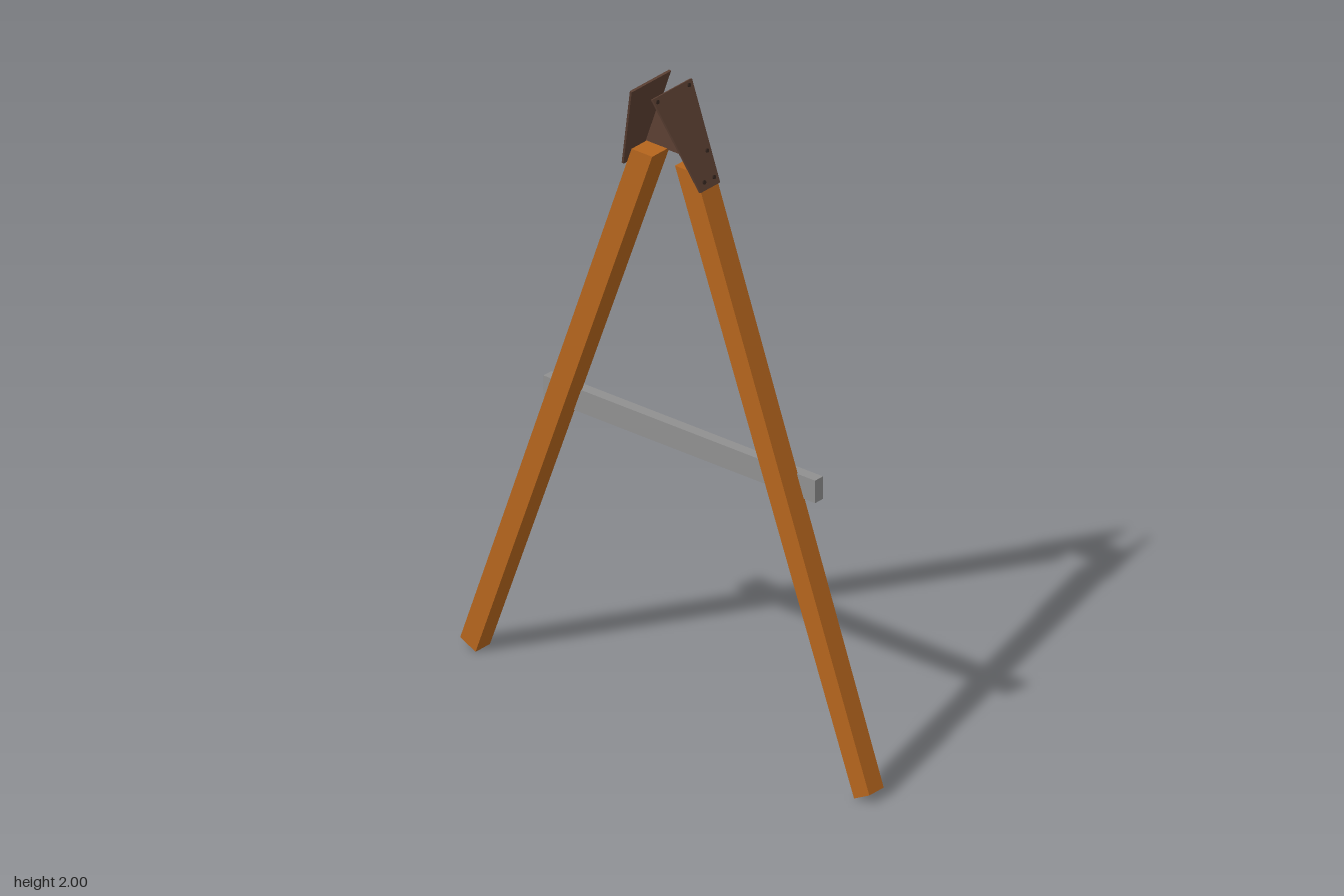
import * as THREE from 'three';

const material = (name, color) => {
  const m = new THREE.MeshStandardMaterial({ color });
  m.name = name;
  return m;
};

// Solid between two matching quads (a outward-facing, counter-clockwise); side -1 mirrors it in x
function prism(a, b, side = 1) {
  const place = (q) => {
    const pts = q.map(([x, y, z]) => [x * side, y, z]);
    return side < 0 ? pts.reverse() : pts;
  };
  a = place(a);
  b = place(b);
  const pos = [];
  const quad = (p, q, r, s) => pos.push(...p, ...q, ...r, ...p, ...r, ...s);
  quad(a[0], a[1], a[2], a[3]);
  quad(b[3], b[2], b[1], b[0]);
  for (let i = 0; i < 4; i++) {
    const j = (i + 1) % 4;
    quad(a[i], b[i], b[j], a[j]);
  }
  const g = new THREE.BufferGeometry();
  g.setAttribute('position', new THREE.Float32BufferAttribute(pos, 3));
  g.computeVertexNormals();
  return g;
}

export function createModel() {
  const model = new THREE.Group();
  const wood = material('wood', 0xb5651d);
  const steel = material('brown steel', 0x5c4033);
  const dark = material('dark bolt', 0x33241d);
  const grey = material('grey rail', 0x909090);

  const add = (name, geometry, mat, parent = model) => {
    const mesh = new THREE.Mesh(geometry, mat);
    mesh.name = name;
    parent.add(mesh);
    return mesh;
  };

  const tilt = THREE.MathUtils.degToRad(19.5);
  const nx = Math.cos(tilt), ny = Math.sin(tilt);
  const boltGeo = new THREE.CylinderGeometry(0.006, 0.006, 0.008, 8);

  for (const side of [1, -1]) {
    const label = side > 0 ? 'left' : 'right';

    // Splayed leg, slightly thicker at its level-cut top
    const leg = (zLow, zHigh) => [
      [0.683, 0, zLow], [0.738, 0.028, zLow], [0.116, 1.757, zHigh], [0.041, 1.757, zHigh],
    ];
    add(label + 'Leg', prism(leg(-0.003, 0.002), leg(-0.065, -0.072), side), wood);

    // Flared bracket plate lying on the outside of the leg
    const outer = [
      [0.143, 1.71, 0.012], [0.143, 1.71, -0.071], [0.041, 2, -0.071], [0.041, 2, 0.098],
    ];
    const inner = outer.map(([x, y, z]) => [x - 0.007 * nx, y - 0.007 * ny, z]);
    add(label + 'BracketPlate', prism(outer, inner, side), steel);

    // Bolts on the bracket plate: [y, z]
    const bolts = new THREE.Group();
    bolts.name = label + 'Bolts';
    model.add(bolts);
    for (const [y, z] of [[1.988, 0.083], [1.988, -0.052], [1.805, -0.053], [1.732, -0.01], [1.732, -0.052]]) {
      const bolt = add('bracketBolt', boltGeo, dark, bolts);
      bolt.position.set(side * (0.143 - 0.102 * (y - 1.71) / 0.29), y, z);
      bolt.rotation.z = side * (tilt - Math.PI / 2);
    }
    // Bolts on the back of the joining plate: [x, y]
    for (const [x, y] of [[0.055, 1.845], [0.088, 1.785], [0.035, 1.785]]) {
      const bolt = add('joiningBolt', boltGeo, dark, bolts);
      bolt.position.set(side * x, y, -0.07);
      bolt.rotation.x = Math.PI / 2;
    }
  }

  // Trapezoid plate joining the brackets at the back
  const joint = (z) => [
    [-0.12, 1.754, z], [0.12, 1.754, z], [0.078, 1.875, z], [-0.078, 1.875, z],
  ];
  add('joiningPlate', prism(joint(-0.063), joint(-0.07)), steel);

  // Cross rail behind the legs
  const rail = add('crossRail', new THREE.BoxGeometry(0.98, 0.07, 0.034), grey);
  rail.position.set(0, 0.865, -0.082);

  return model;
}
